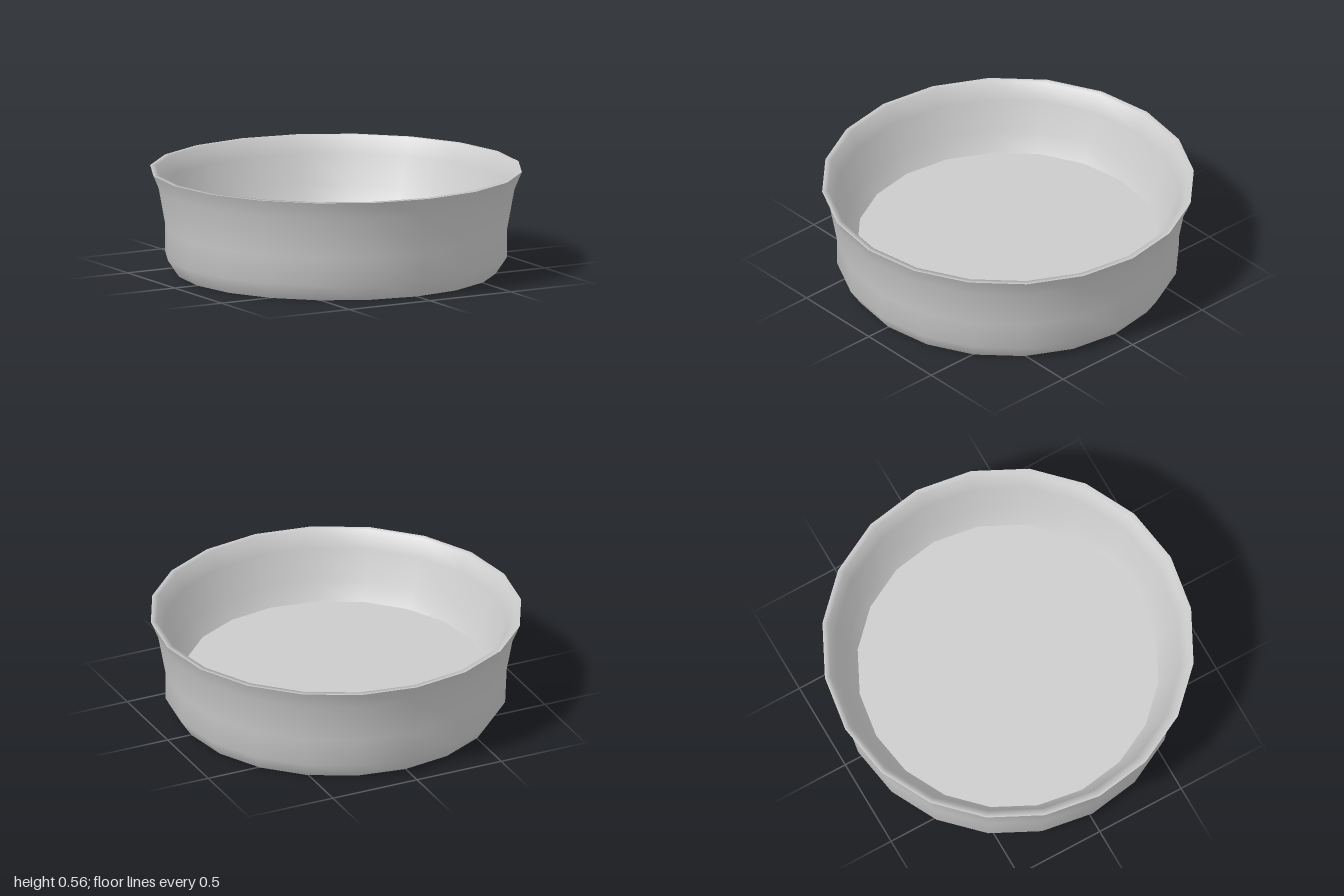
import * as THREE from 'three';

const SIDES = 20;

export function createModel() {
  const group = new THREE.Group();
  const material = new THREE.MeshStandardMaterial({ color: 0xcccccc });

  // Revolves a [radius, height] profile; separate parts keep the edges between them sharp
  const addLathe = (name, profile) => {
    const points = profile.map(([r, y]) => new THREE.Vector2(r, y));
    const mesh = new THREE.Mesh(new THREE.LatheGeometry(points, SIDES), material);
    mesh.name = name;
    group.add(mesh);
  };

  // Chamfered base, upright side and flared lip
  addLathe('outerWall', [[0.86, 0], [0.92, 0.09], [0.92, 0.24], [0.96, 0.46], [1, 0.555]]);

  // Narrow rim rolling over into the sloping inside
  addLathe('rimAndInnerWall', [[1, 0.555], [0.968, 0.555], [0.925, 0.46], [0.87, 0.3], [0.81, 0.2]]);

  // Flat floor of the dish
  addLathe('floor', [[0.81, 0.2], [0, 0.2]]);

  // Recessed underside inside a foot ring
  addLathe('underside', [[0, 0.04], [0.81, 0.04]]);
  addLathe('footRingInside', [[0.81, 0.04], [0.81, 0]]);
  addLathe('footRing', [[0.81, 0], [0.86, 0]]);

  return group;
}
